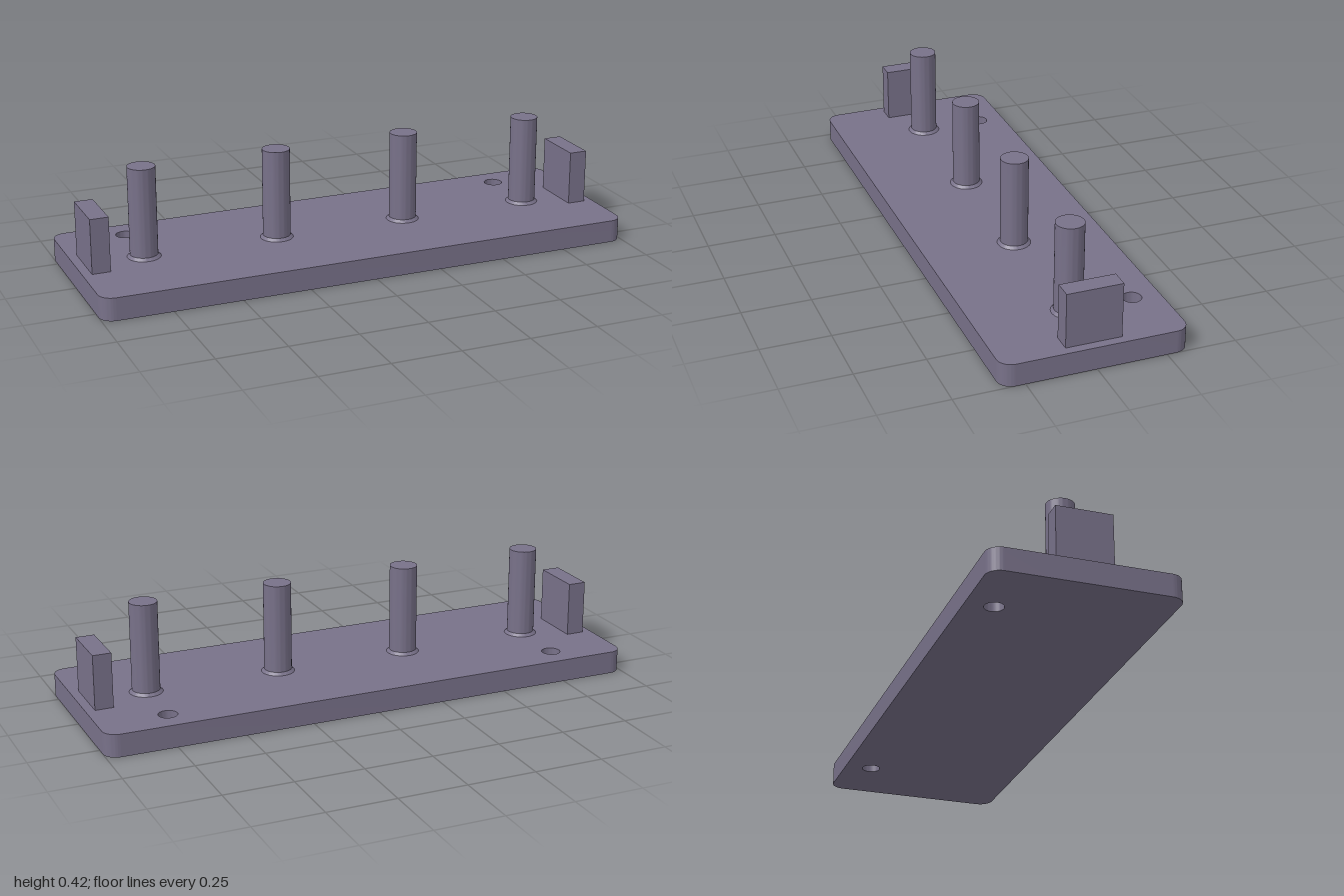
import * as THREE from 'three';
import { toCreasedNormals } from 'three/addons/utils/BufferGeometryUtils.js';

const W = 1, D = 1 / 3, T = 0.083, R = 0.05; // plate half width, half depth, thickness, corner radius

export function createModel() {
  const model = new THREE.Group();
  model.name = 'pegRack';
  const slate = new THREE.MeshStandardMaterial({ color: 0x787189 });
  slate.name = 'slate purple';

  const add = (name, geometry, x = 0, y = 0, z = 0) => {
    const mesh = new THREE.Mesh(geometry, slate);
    mesh.name = name;
    mesh.position.set(x, y, z);
    model.add(mesh);
  };

  // Base plate: rounded rectangle with two screw holes near the back edge
  const outline = new THREE.Shape();
  outline.absarc(W - R, D - R, R, 0, Math.PI / 2);
  outline.absarc(-W + R, D - R, R, Math.PI / 2, Math.PI);
  outline.absarc(-W + R, -D + R, R, Math.PI, Math.PI * 1.5);
  outline.absarc(W - R, -D + R, R, Math.PI * 1.5, Math.PI * 2);
  outline.closePath();
  for (const x of [-0.75, 0.75]) {
    outline.holes.push(new THREE.Path().absarc(x, 0.233, 0.034, 0, Math.PI * 2, true));
  }
  const plate = new THREE.ExtrudeGeometry(outline, { depth: T, bevelEnabled: false, curveSegments: 16 });
  plate.rotateX(-Math.PI / 2);
  add('basePlate', toCreasedNormals(plate, 0.5));

  // Pegs: round posts with a small chamfered foot
  const profile = [[0.06, T], [0.05, T + 0.01], [0.05, 0.417], [0, 0.417]];
  const peg = toCreasedNormals(
    new THREE.LatheGeometry(profile.map(([r, y]) => new THREE.Vector2(r, y)), 48), 0.5);
  for (const x of [-0.75, -0.25, 0.25, 0.75]) add('peg', peg, x);

  // End tabs
  const tab = new THREE.BoxGeometry(0.067, 0.2, 0.2);
  for (const side of [-1, 1]) add('endTab', tab, side * 0.9335, T + 0.1);

  return model;
}
